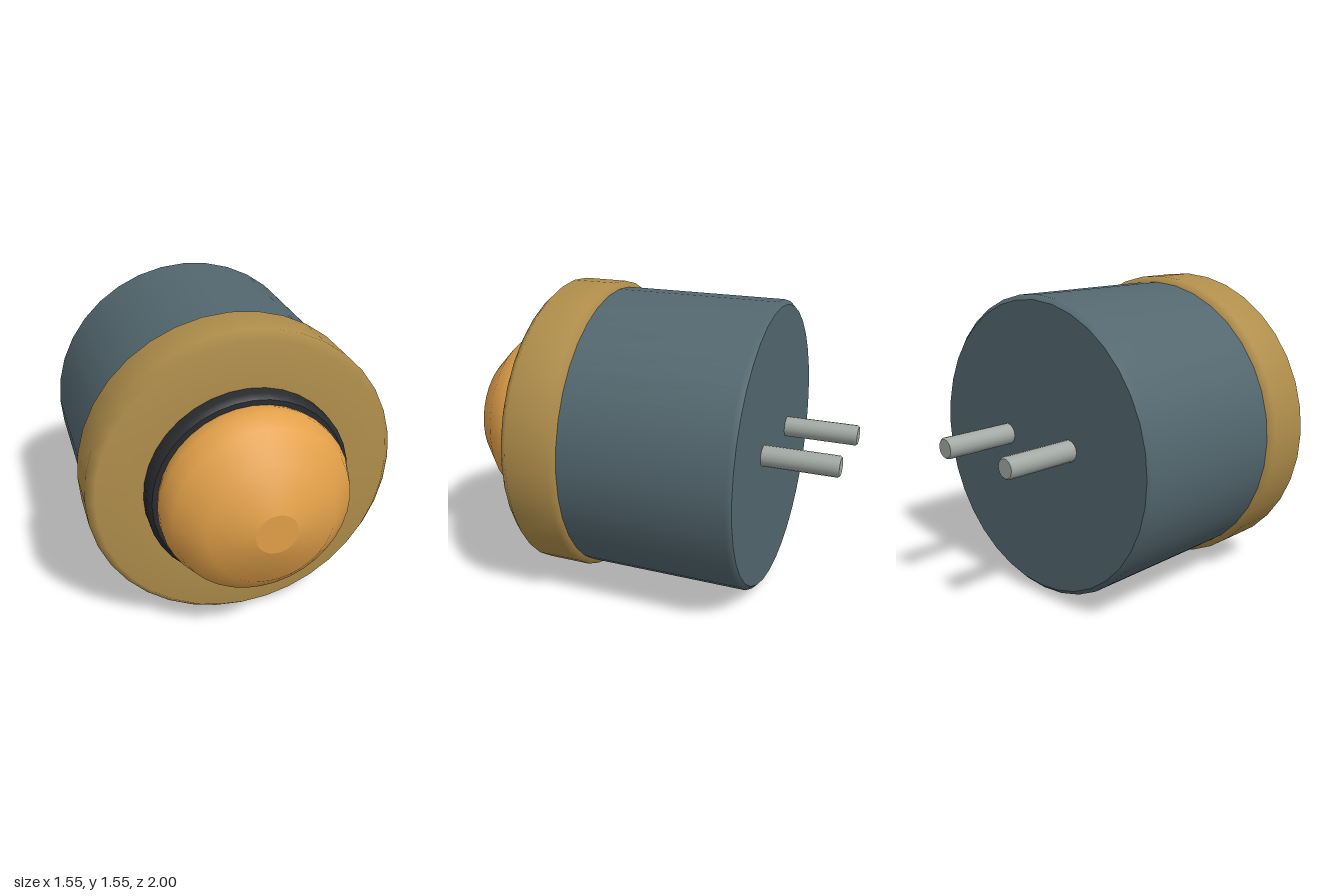
import * as THREE from 'three';

const SIDES = 36;
const CENTER_Y = 0.775;

function mat(name, color) {
  const m = new THREE.MeshStandardMaterial({ color });
  m.name = name;
  return m;
}

// Smooth turned shell along z; profile is [radius, z] from back to front
function turned(name, profile, material, sides = SIDES) {
  const pts = profile.map(([r, z]) => new THREE.Vector2(r, z));
  const geo = new THREE.LatheGeometry(pts, sides).rotateX(Math.PI / 2);
  const mesh = new THREE.Mesh(geo, material);
  mesh.name = name;
  return mesh;
}

// Flat disc closing a shell; dir is +1 for front, -1 for back
function cap(name, r, z, dir, material, sides = SIDES) {
  const geo = new THREE.CircleGeometry(r, sides, Math.PI / 2);
  if (dir < 0) geo.rotateY(Math.PI);
  const mesh = new THREE.Mesh(geo, material);
  mesh.name = name;
  mesh.position.z = z;
  return mesh;
}

export function createModel() {
  const slate = mat('slate housing', 0x53676f);
  const brass = mat('brass', 0xb08e4b);
  const amber = mat('amber lens', 0xe2a049);
  const rubber = mat('black rubber', 0x292b2e);
  const steel = mat('steel', 0xa2a8a4);

  const model = new THREE.Group();
  model.name = 'indicatorLamp';
  const axis = new THREE.Group();
  axis.name = 'lampAxis';
  axis.position.y = CENTER_Y;
  model.add(axis);

  // Housing with a bevelled back edge
  axis.add(
    turned('housing', [[0.722, -0.62], [0.745, -0.597], [0.745, 0.26]], slate),
    cap('housingBack', 0.722, -0.62, -1, slate)
  );

  // Chamfered bezel ring
  axis.add(turned('bezel', [
    [0.7, 0.24], [0.74, 0.24], [0.775, 0.275], [0.775, 0.505], [0.735, 0.55], [0.48, 0.55]
  ], brass));

  // Gasket between bezel and lens
  axis.add(
    turned('gasket', [[0.505, 0.53], [0.505, 0.605], [0.482, 0.63]], rubber),
    cap('gasketFront', 0.482, 0.63, 1, rubber)
  );

  // Domed lens with a small flat tip
  axis.add(
    turned('lens', [
      [0.455, 0.625], [0.465, 0.665], [0.465, 0.715], [0.43, 0.812], [0.305, 0.933], [0.1, 1.0]
    ], amber),
    cap('lensTip', 0.1, 1.0, 1, amber)
  );

  // Two contact pins at the back
  for (const [side, x] of [['left', 0.225], ['right', -0.225]]) {
    const pin = new THREE.Group();
    pin.name = side + 'Pin';
    pin.position.set(x, 0.033, 0);
    pin.add(
      turned('pinShaft', [[0.046, -1], [0.053, -0.992], [0.053, -0.6]], steel, 16),
      cap('pinEnd', 0.046, -1, -1, steel, 16)
    );
    axis.add(pin);
  }
  return model;
}
